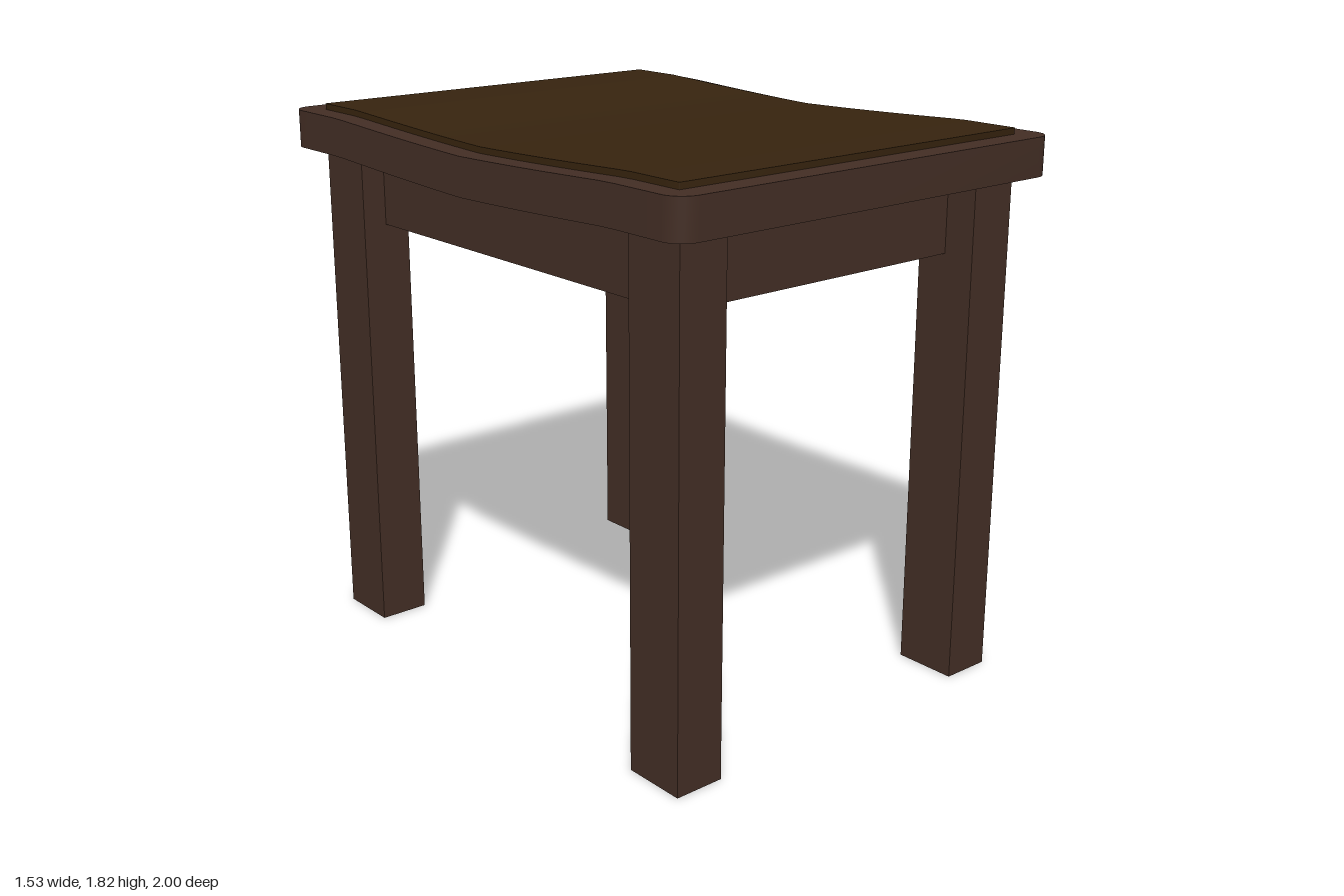
import * as THREE from 'three';
import { toCreasedNormals } from 'three/addons/utils/BufferGeometryUtils.js';

const wood = new THREE.MeshStandardMaterial({ color: 0x422d24 });
wood.name = 'dark wood';
const fabric = new THREE.MeshStandardMaterial({ color: 0x36230e });
fabric.name = 'olive brown upholstery';

// Gentle saddle dip across the middle of the seat
const dip = (z) => {
  const t = Math.max(0, 1 - Math.abs(z) / 0.7);
  return 0.027 * (0.6 * t + 0.4 * Math.sin(t * Math.PI / 2));
};

// Slab with rounded plan corners, bent to follow the dip
function saddleSlab(halfX, halfZ, bottom, top, radius, centreZ = 0) {
  const stations = [];
  const arc = 8, mid = 28, straight = halfZ - radius;
  for (let i = 0; i < arc; i++) {
    const a = (i / arc) * Math.PI / 2;
    stations.push([-straight - radius * Math.cos(a), halfX - radius + radius * Math.sin(a)]);
  }
  for (let i = 0; i <= mid; i++) stations.push([-straight + (2 * straight * i) / mid, halfX]);
  for (let i = arc - 1; i >= 0; i--) stations.push([-stations[i][0], stations[i][1]]);

  const n = stations.length - 1;
  const geo = new THREE.BoxGeometry(2, top - bottom, n, 1, 1, n);
  const p = geo.attributes.position;
  for (let i = 0; i < p.count; i++) {
    const [z, w] = stations[Math.round(p.getZ(i) + n / 2)];
    const y = p.getY(i) + (top + bottom) / 2 - dip(z + centreZ);
    p.setXYZ(i, p.getX(i) * w, y, z);
  }
  return toCreasedNormals(geo, Math.PI / 6);
}

// Box given by its minimum and maximum on each axis
function block(name, x0, x1, y0, y1, z0, z1) {
  const mesh = new THREE.Mesh(new THREE.BoxGeometry(x1 - x0, y1 - y0, z1 - z0), wood);
  mesh.position.set((x0 + x1) / 2, (y0 + y1) / 2, (z0 + z1) / 2);
  mesh.name = name;
  return mesh;
}

export function createModel() {
  const stool = new THREE.Group();
  stool.name = 'stool';

  // Seat board and thin upholstered pad
  const seat = new THREE.Mesh(saddleSlab(0.765, 1, 1.67, 1.795, 0.07), wood);
  seat.name = 'seat';
  const pad = new THREE.Mesh(saddleSlab(0.685, 0.908, 1.785, 1.815, 0.004, 0.007), fabric);
  pad.name = 'seatPad';
  pad.position.set(-0.005, 0, 0.007);
  stool.add(seat, pad);

  // Legs and aprons, centred slightly off the seat's middle
  const base = new THREE.Group();
  base.name = 'base';
  base.position.set(-0.007, 0, 0.008);
  for (const s of [-1, 1]) {
    const side = s > 0 ? 'left' : 'right';
    for (const t of [-1, 1]) {
      const end = t > 0 ? 'Front' : 'Back';
      const x = s * 0.597, z = t * 0.802;
      base.add(block(side + end + 'Leg', x - 0.085, x + 0.085, 0, 1.7, z - 0.107, z + 0.107));
    }
    // Aprons set back from the outer faces of the legs
    const ax = s * 0.557, az = s * 0.75;
    base.add(block(side + 'Apron', ax - 0.042, ax + 0.042, 1.425, 1.69, -0.7, 0.7));
    base.add(block(s > 0 ? 'frontApron' : 'backApron', -0.515, 0.515, 1.425, 1.69, az - 0.05, az + 0.05));
  }
  stool.add(base);
  return stool;
}
